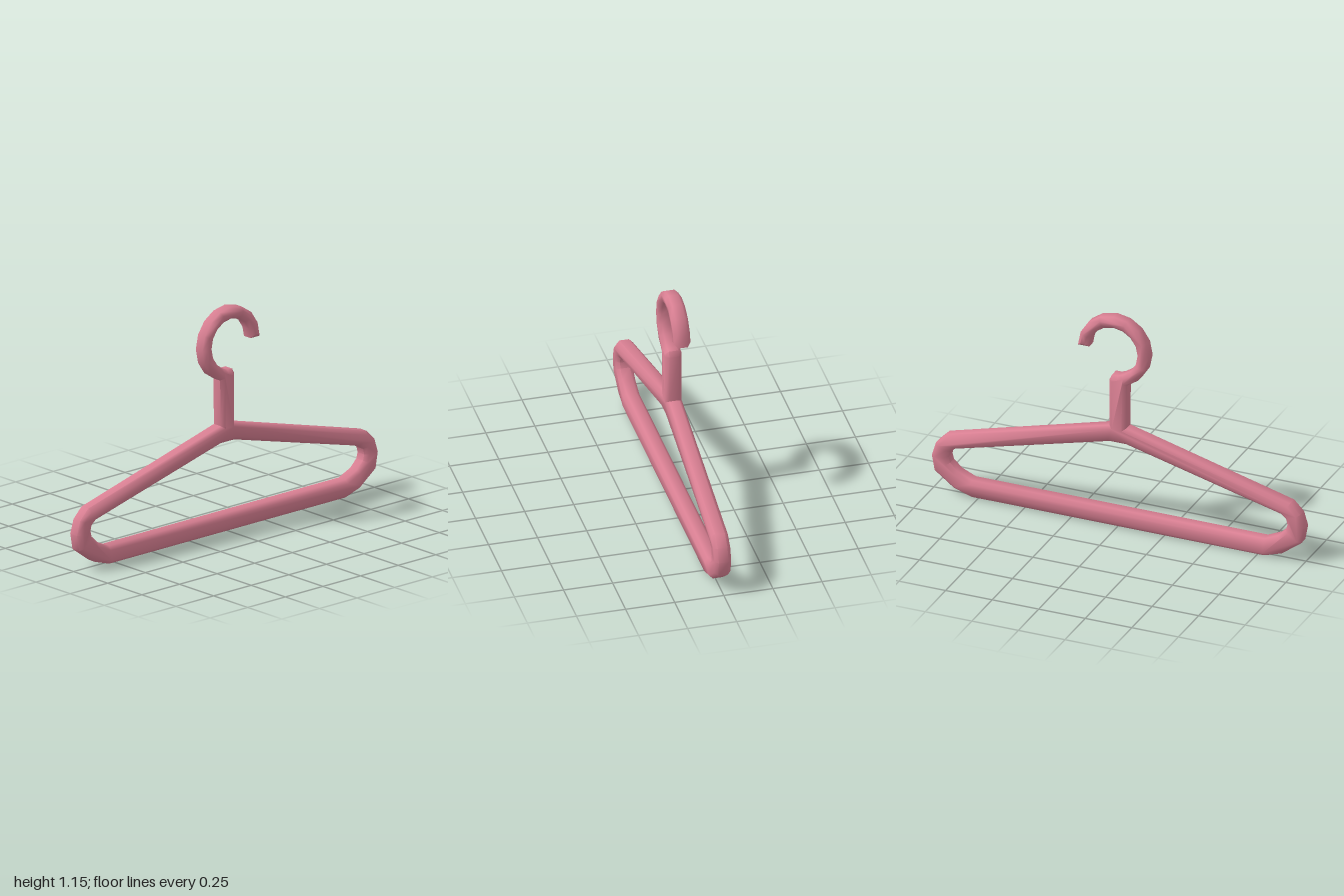
import * as THREE from 'three';
import { toCreasedNormals } from 'three/addons/utils/BufferGeometryUtils.js';

const WIDTH = 0.085;
const BEVEL = 0.018;

// Points on the hook's circle, in the hanger's plane (z, y)
function arc(radius, fromDeg, toDeg, steps) {
  const pts = [];
  for (let i = 0; i <= steps; i++) {
    const a = THREE.MathUtils.degToRad(fromDeg + ((toDeg - fromDeg) * i) / steps);
    pts.push([-0.025 + radius * Math.cos(a), 0.962 + radius * Math.sin(a)]);
  }
  return pts;
}

const mirror = (pts) => pts.map(([z, y]) => [-z, y]).reverse();
const toVectors = (pts) => pts.map(([z, y]) => new THREE.Vector2(z, y));

export function createModel() {
  const pink = new THREE.MeshStandardMaterial({ color: 0xd87f92 });
  pink.name = 'pink plastic';

  // Rounded shoulder end, from the bottom bar up to the sloping arm
  const outerEnd = [
    [0.785, 0], [0.88, 0.03], [0.985, 0.108], [1, 0.19], [0.978, 0.262], [0.925, 0.315],
  ];
  const innerEnd = [
    [0.785, 0.092], [0.86, 0.125], [0.902, 0.165], [0.91, 0.195], [0.903, 0.225], [0.875, 0.248],
  ];

  // Outer outline: shoulder, stem, hook, stem, other shoulder
  const outline = [
    ...outerEnd,
    [0.045, 0.55],
    ...arc(0.19, -67.5, 180, 11),
    ...arc(0.13, 180, -67.5, 11),
    [0, 0.832], [-0.032, 0.832], [-0.045, 0.805],
    [-0.045, 0.55],
    ...mirror(outerEnd),
  ];

  // Opening between the arms and the bottom bar
  const opening = [...innerEnd, [0.045, 0.462], [-0.045, 0.462], ...mirror(innerEnd)];

  const shape = new THREE.Shape(toVectors(outline));
  shape.holes.push(new THREE.Path(toVectors(opening)));

  // Bevelled slab, turned so the hanger lies in the y-z plane
  const slab = new THREE.ExtrudeGeometry(shape, {
    depth: WIDTH - 2 * BEVEL,
    bevelEnabled: true,
    bevelThickness: BEVEL,
    bevelSize: BEVEL,
    bevelOffset: -BEVEL,
    bevelSegments: 1,
  });
  slab.translate(0, 0, BEVEL - WIDTH / 2);
  slab.rotateY(-Math.PI / 2);

  const hanger = new THREE.Mesh(toCreasedNormals(slab, THREE.MathUtils.degToRad(50)), pink);
  hanger.name = 'hangerBody';

  const group = new THREE.Group();
  group.name = 'coatHanger';
  group.add(hanger);
  return group;
}
